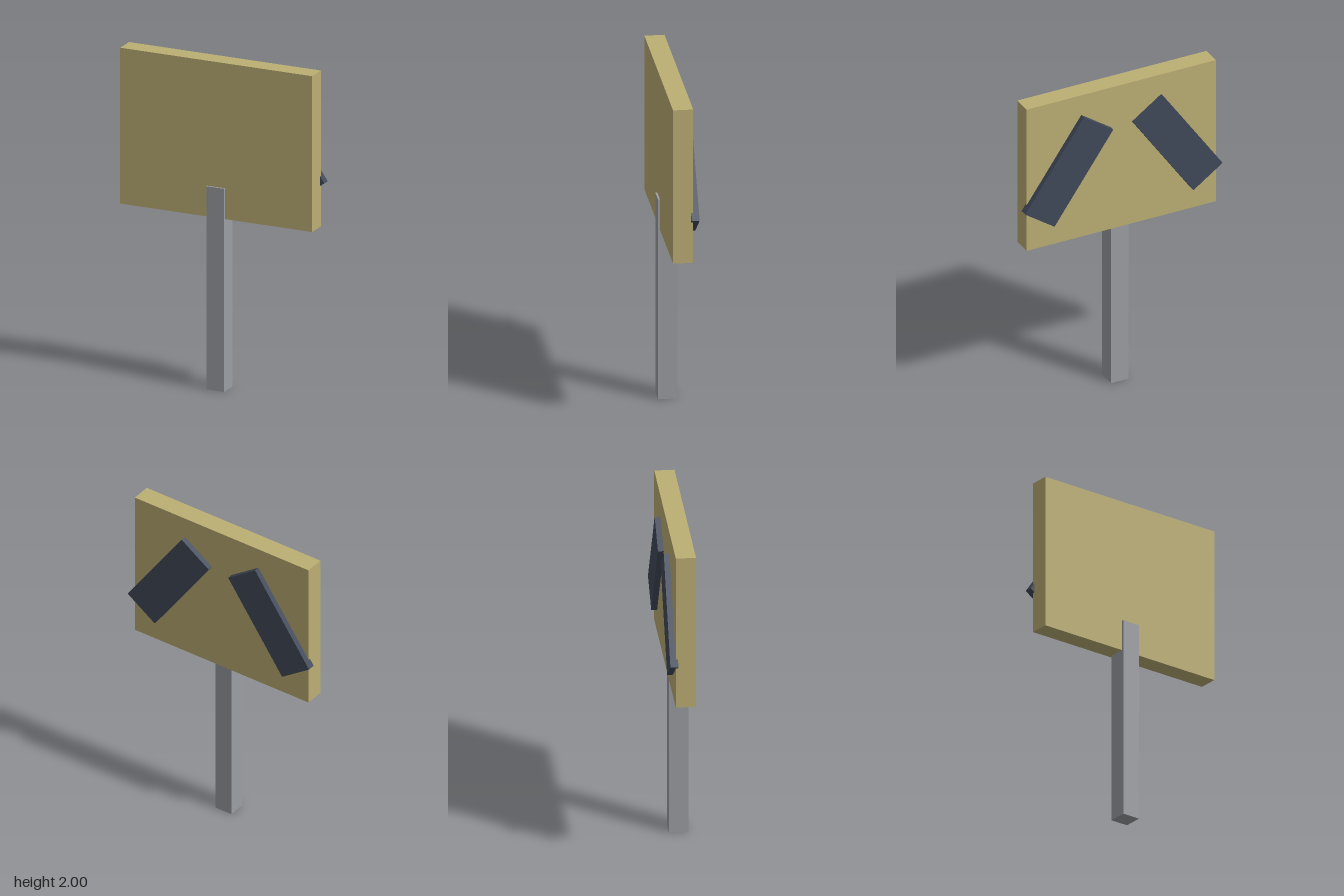
import * as THREE from 'three';

const material = (name, color) => {
  const m = new THREE.MeshStandardMaterial({ color });
  m.name = name;
  return m;
};

export function createModel() {
  const tan = material('tan board', 0xbcaf74);
  const grey = material('grey post', 0x9b9ea3);
  const slate = material('dark slate', 0x414a5a);
  const group = new THREE.Group();
  group.name = 'signPost';

  // Box given by its size and centre
  const addBox = (name, mat, [w, h, d], [x, y, z]) => {
    const mesh = new THREE.Mesh(new THREE.BoxGeometry(w, h, d), mat);
    mesh.name = name;
    mesh.position.set(x, y, z);
    group.add(mesh);
    return mesh;
  };

  // Sign panel and the post slightly proud of its front
  addBox('board', tan, [1.234, 0.95, 0.118], [-0.002, 1.525, 0.011]);
  addBox('post', grey, [0.114, 1.238, 0.114], [-0.002, 0.619, 0.025]);

  // Two slanted braces set into the back of the board
  for (const side of [-1, 1]) {
    const brace = addBox(side > 0 ? 'leftBrace' : 'rightBrace', slate,
      [0.233, 0.67, 0.047], [side * 0.357 - 0.002, 1.527, -0.0585]);
    brace.rotation.z = side * THREE.MathUtils.degToRad(34.9);
  }
  return group;
}
